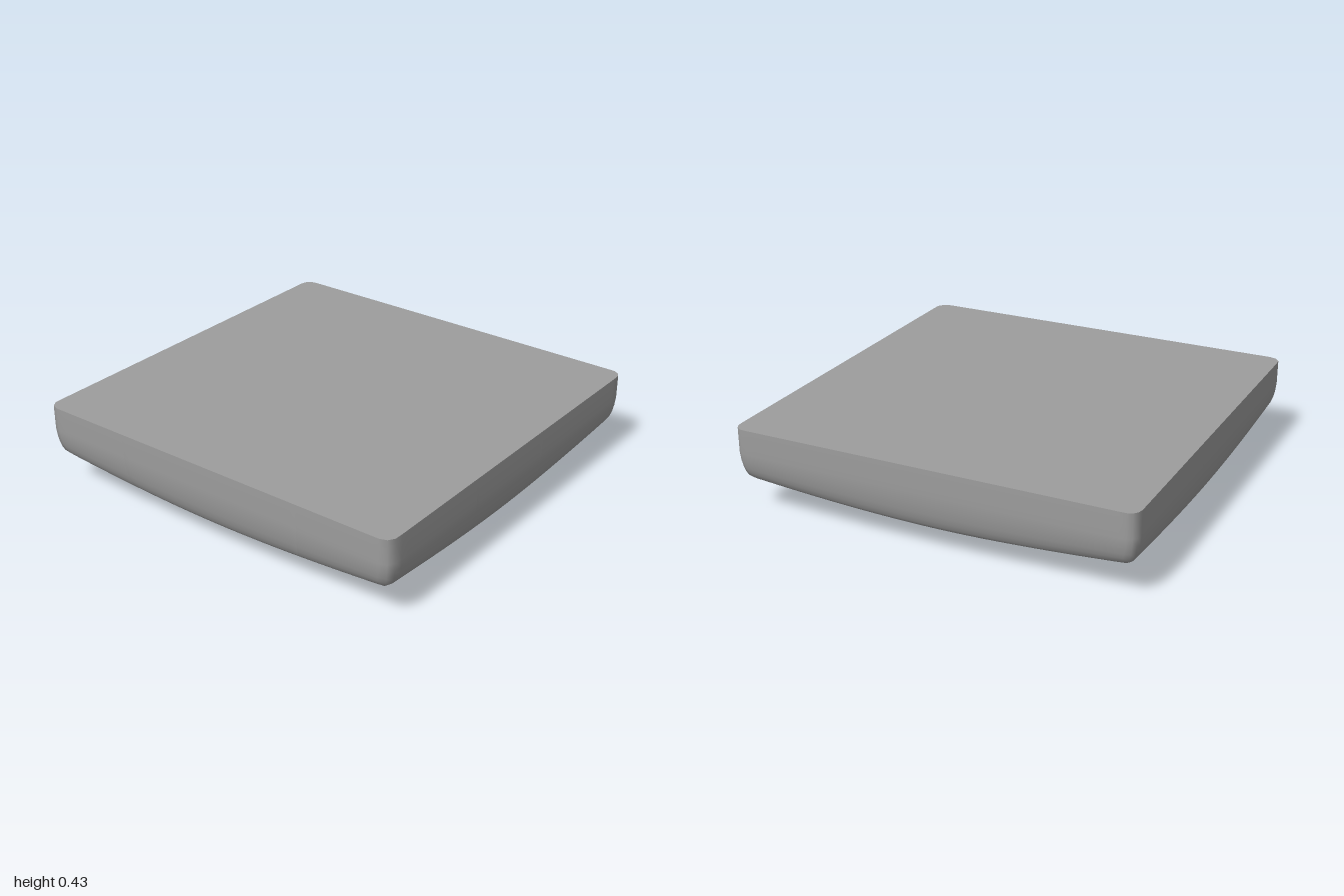
import * as THREE from 'three';

const HX = 0.987, HZ = 1, TOP = 0.43, SLOPE = 0.128, FLOOR = 0.36, CORNER = 0.055;
const material = new THREE.MeshStandardMaterial({ color: 0x9d9d9d });

// Distances along a ray from the centre to a circle at (cx, cz)
function rayCircle(t, cx, cz, r) {
  const u = Math.cos(t) * cx + Math.sin(t) * cz;
  const h = Math.sqrt(Math.max(0, u * u - cx * cx - cz * cz + r * r));
  return [u - h, u + h];
}

// Distance along a ray to the rounded rectangular outline, inset by d
function outline(t, d) {
  const c = Math.abs(Math.cos(t)), s = Math.abs(Math.sin(t));
  const a = HX - d, b = HZ - d, r = Math.max(CORNER - d, 0.02);
  const k = Math.min(a / Math.max(c, 1e-9), b / Math.max(s, 1e-9));
  if (k * c > a - r && k * s > b - r) return rayCircle(Math.atan2(s, c), a - r, b - r, r)[1];
  return k;
}

// Surface through a list of loops, each loop a list of [angle, radius, height]
function loft(name, loops) {
  const n = loops[0].length, pos = [], idx = [];
  for (const loop of loops)
    for (const [t, r, y] of loop) pos.push(r * Math.cos(t), y, r * Math.sin(t));
  for (let j = 0; j < loops.length - 1; j++)
    for (let i = 0; i < n - 1; i++) {
      const a = j * n + i, b = a + n;
      idx.push(a, b, b + 1, a, b + 1, a + 1);
    }
  const g = new THREE.BufferGeometry();
  g.setAttribute('position', new THREE.Float32BufferAttribute(pos, 3));
  g.setIndex(idx);
  g.computeVertexNormals();
  const mesh = new THREE.Mesh(g, material);
  mesh.name = name;
  return mesh;
}

export function createModel() {
  const group = new THREE.Group();
  group.name = 'slab';

  // Round eyes
  const EX = -0.368, EZ = 0.43, ER = 0.213;
  const eye = (z) => (t) => rayCircle(t, EX, z, ER);
  const eyeAngle = Math.atan2(EZ, EX), eyeHalf = Math.asin(ER / Math.hypot(EX, EZ));
  const e0 = eyeAngle - eyeHalf, e1 = eyeAngle + eyeHalf, turn = 2 * Math.PI;

  // Crescent mouth between an inner and an outer circle, with its two tips
  const MZ = -0.045, IX = 0.01, IR = 0.57, OX = 0.24, OR = 0.575, gap = OX - IX;
  const mouth = (t) => {
    const inner = rayCircle(t, IX, MZ, IR)[1];
    return [inner, Math.max(inner, rayCircle(t, OX, MZ, OR)[1])];
  };
  const tipX = (IR * IR + gap * gap - OR * OR) / (2 * gap), tipZ = Math.sqrt(IR * IR - tipX * tipX);
  const m0 = Math.atan2(MZ - tipZ, IX + tipX), m1 = Math.atan2(MZ + tipZ, IX + tipX);

  // Sectors around the centre: recess name, start and end angle, radial span, steps
  const plain = () => [0.5, 0.5];
  const sectors = [
    ['mouthRecess', m0, m1, mouth, 200],
    ['', m1, e0, plain, 24],
    ['leftEyeRecess', e0, e1, eye(EZ), 48],
    ['', e1, turn - e1, plain, 40],
    ['rightEyeRecess', turn - e1, turn - e0, eye(-EZ), 48],
    ['', turn - e0, turn + m0, plain, 24],
  ];

  const cone = (t, r) => [t, r, SLOPE * r];
  const inset = 0.06, rim = (t) => outline(t, inset);
  const angles = [];
  for (const [name, from, to, span, n] of sectors) {
    // Finer steps near the ends, where the recess outlines turn
    const ts = Array.from({ length: n + 1 }, (_, i) => {
      const u = i / n;
      return from + (to - from) * (name ? (1 - Math.cos(Math.PI * u)) / 2 : u);
    });
    angles.push(...(angles.length ? ts.slice(1) : ts));
    const near = ts.map((t) => cone(t, span(t)[0])), far = ts.map((t) => cone(t, span(t)[1]));
    const deep = (loop) => loop.map(([t, r]) => [t, r, FLOOR]);

    // Conical underside, inside and outside the recess
    group.add(loft('underside', [ts.map((t) => cone(t, 0)), near]));
    group.add(loft('underside', [far, ts.map((t) => cone(t, rim(t)))]));
    if (!name) continue;

    // The mouth slopes from its inner rim to the foot of its outer wall; the eyes are straight
    const recess = new THREE.Group();
    recess.name = name;
    if (span === mouth) {
      recess.add(loft('slopedWall', [near, deep(far), far]));
    } else {
      recess.add(loft('innerWall', [near, deep(near)]));
      recess.add(loft('floor', [deep(near), deep(far)]));
      recess.add(loft('outerWall', [deep(far), far]));
    }
    group.add(recess);
  }

  // Side wall, rounded under into the cone: [inset, share of the rise to y = 0.31]
  const profile = [[inset, 0], [0.045, 0.05], [0.033, 0.14], [0.022, 0.28], [0.013, 0.45], [0.005, 0.7], [0, 1]];
  const side = profile.map(([d, f]) => angles.map((t) => {
    const low = SLOPE * rim(t);
    return [t, outline(t, d), low + (0.31 - low) * f];
  }));
  const topEdge = angles.map((t) => [t, outline(t, 0), TOP]);
  group.add(loft('side', [...side, topEdge]));

  // Flat top
  group.add(loft('top', [topEdge, angles.map((t) => [t, 0, TOP])]));
  return group;
}
